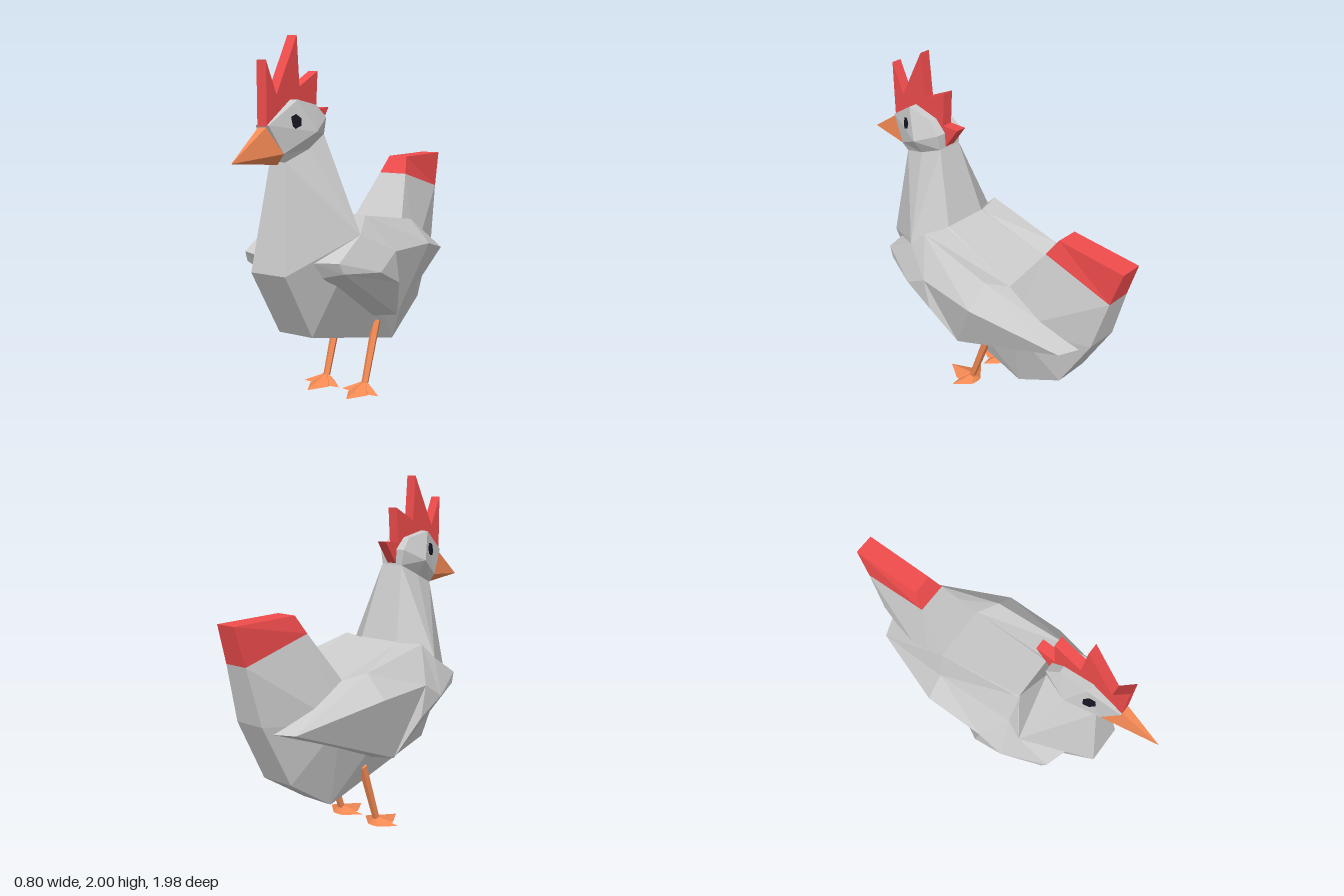
import * as THREE from 'three';

const GREY = 0xcccccc, RED = 0xf04c4c, ORANGE = 0xf58a55, DARK = 0x14151f;

const material = (color, side = THREE.FrontSide) =>
  new THREE.MeshStandardMaterial({ color, flatShading: true, side });

function mesh(name, geometry, color, side) {
  const m = new THREE.Mesh(geometry, material(color, side));
  m.name = name;
  return m;
}

// Faceted geometry from polygons, each a loop of points
function facets(polygons) {
  const pos = [];
  for (const p of polygons)
    for (let i = 1; i < p.length - 1; i++) pos.push(...p[0], ...p[i], ...p[i + 1]);
  const g = new THREE.BufferGeometry();
  g.setAttribute('position', new THREE.Float32BufferAttribute(pos, 3));
  g.computeVertexNormals();
  return g;
}

const flip = ([x, y, z]) => [-x, y, z];
const mirror = polygons => polygons.map(p => p.map(flip).reverse());
const both = polygons => [...polygons, ...mirror(polygons)];
const pairs = chain => chain.slice(1).map((b, i) => [chain[i], b]);
// Triangles from a hub to each edge of a chain
const fan = (hub, chain) => pairs(chain).map(([a, b]) => [hub, a, b]);
// Strip joining a chain on the left side to its mirror image
const bridge = chain => pairs(chain).map(([a, b]) => [b, a, flip(a), flip(b)]);

export function createModel() {
  const model = new THREE.Group();
  model.name = 'rooster';

  // Points shared by neck and head
  const neckFront = [0.05, 1.36, 0.63], neckSide = [0.08, 1.42, 0.47], neckBack = [0.07, 1.49, 0.32];

  // Body, neck and lower tail
  const chest = [0.11, 0.79, 0.72], breast = [0.11, 0.42, 0.49], belly = [0.1, 0.22, -0.35];
  const rump = [0.1, 0.42, -0.66], rear = [0.09, 0.78, -0.85];
  const tailRear = [0.07, 1.1, -0.93], tailFront = [0.09, 1.21, -0.51];
  const tailBase = [0.17, 0.94, -0.33], back = [0.13, 1.06, 0.2];
  const shoulder = [0.31, 0.97, 0.33], flank = [0.22, 0.72, -0.4];
  model.add(mesh('body', facets([
    ...both([
      ...fan(shoulder, [tailBase, back, neckBack, neckSide, neckFront, chest, breast, belly, flank, tailBase]),
      ...fan(flank, [belly, rump, rear, tailRear, tailFront, tailBase]),
    ]),
    ...bridge([neckFront, chest, breast, belly, rump, rear, tailRear]),
    ...bridge([tailFront, tailBase, back, neckBack]),
  ]), GREY));

  // Tail tip
  const tip = [tailRear, [0.06, 1.31, -0.99], [0.06, 1.31, -0.57], tailFront];
  model.add(mesh('tailTip', facets([...both([tip]), ...bridge(tip)]), RED));

  // Head
  const brow = [0.04, 1.55, 0.75], crown = [0.08, 1.675, 0.56], crownBack = [0.07, 1.645, 0.39];
  const nape = [0.085, 1.58, 0.32], cheek = [0.135, 1.51, 0.47], jaw = [0.065, 1.405, 0.66];
  model.add(mesh('head', facets([
    ...both([
      [brow, jaw, cheek, crown], [crown, cheek, crownBack], [crownBack, cheek, nape],
      [jaw, neckFront, neckSide, cheek], [cheek, neckSide, neckBack], [cheek, neckBack, nape],
    ]),
    ...bridge([neckBack, nape, crownBack, crown, brow, jaw, neckFront]),
  ]), GREY));

  // Beak
  const beakTip = [0, 1.375, 0.985], beakTop = [0.025, 1.54, 0.75], beakBottom = [0, 1.345, 0.63];
  model.add(mesh('beak', facets([
    ...both([[beakTip, jaw, beakTop], [beakTip, beakBottom, jaw]]),
    [beakTip, beakTop, flip(beakTop)],
    [beakTop, jaw, beakBottom, flip(jaw), flip(beakTop)],
  ]), ORANGE));

  // Comb: side outline (z, y) extruded across the head
  const outline = [
    [0.75, 1.545], [0.75, 1.87], [0.67, 1.7], [0.5, 2], [0.48, 1.74], [0.32, 1.82],
    [0.335, 1.62], [0.22, 1.63], [0.315, 1.5], [0.4, 1.58], [0.56, 1.6],
  ].map(p => new THREE.Vector2(...p));
  const comb = new THREE.ExtrudeGeometry(new THREE.Shape(outline), { depth: 0.06, bevelEnabled: false });
  comb.translate(0, 0, -0.03).rotateY(-Math.PI / 2);
  model.add(mesh('comb', comb, RED));

  // Wing
  const front = [0.31, 0.85, 0.53], frontLow = [0.32, 0.79, 0.5];
  const low = [0.31, 0.46, -0.05], end = [0.22, 0.735, -0.74];
  const inFront = [0.18, 0.845, 0.57], inFrontLow = [0.2, 0.76, 0.52];
  const inLow = [0.15, 0.43, -0.05], inEnd = [0.09, 0.73, -0.79];
  const top1 = [0.31, 0.97, 0.33], top2 = [0.28, 1.06, 0.24], top3 = [0.28, 0.98, -0.25];
  const inTop = [0.13, 1.055, 0.2], inTopBack = [0.17, 0.94, -0.33];
  const p1 = [0.4, 0.77, 0.27], p2 = [0.4, 0.86, 0.12], p3 = [0.4, 0.85, -0.25], p4 = [0.4, 0.68, 0.08];
  const wing = [
    // outer face
    [front, p1, top1], [top1, p1, p2, top2], [top2, p2, p3, top3], [top3, p3, end],
    [front, frontLow, p1], [p1, frontLow, p4], [frontLow, low, p4],
    [p1, p4, p2], [p2, p4, low], [p2, low, p3], [p3, low, end],
    // rim and top
    [frontLow, front, inFront, inFrontLow], [low, frontLow, inFrontLow, inLow], [end, low, inLow, inEnd],
    [front, top1, inFront], [top1, top2, inTop], [top2, top3, inTopBack, inTop], [top3, end, inEnd, inTopBack],
  ];
  model.add(mesh('leftWing', facets(wing), GREY, THREE.DoubleSide));
  model.add(mesh('rightWing', facets(mirror(wing)), GREY, THREE.DoubleSide));

  // Foot outline (x, z) around the ankle: three toes and a heel
  const toes = [
    [0, -0.03], [0.035, -0.025], [0.125, 0.06], [0.06, 0.07], [0.065, 0.085], [0, 0.2],
    [-0.065, 0.085], [-0.06, 0.07], [-0.125, 0.06], [-0.035, -0.025],
  ].map(([x, z]) => [x, 0, z]);
  const footFaces = [...toes.map((a, i) => [[0, 0.055, 0], toes[(i + 1) % toes.length], a])];
  footFaces.push(...toes.map((a, i) => [[0, 0, 0.03], a, toes[(i + 1) % toes.length]]));

  for (const s of [1, -1]) {
    const side = s > 0 ? 'left' : 'right';

    // Eye
    const eye = mesh(side + 'Eye', new THREE.CylinderGeometry(0.037, 0.037, 0.016, 6), DARK);
    eye.position.set(s * 0.083, 1.565, 0.588);
    eye.quaternion.setFromUnitVectors(new THREE.Vector3(0, 1, 0), new THREE.Vector3(s * 0.91, 0.14, 0.4).normalize());
    model.add(eye);

    // Leg from ankle up to the body
    const a = new THREE.Vector3(s * 0.135, 0.03, 0.015), b = new THREE.Vector3(s * 0.135, 0.39, -0.112);
    const leg = mesh(side + 'Leg', new THREE.CylinderGeometry(0.026, 0.021, a.distanceTo(b), 5), ORANGE);
    leg.position.copy(a).lerp(b, 0.5);
    leg.quaternion.setFromUnitVectors(new THREE.Vector3(0, 1, 0), b.clone().sub(a).normalize());
    model.add(leg);

    // Foot
    const foot = mesh(side + 'Foot', facets(footFaces), ORANGE, THREE.DoubleSide);
    foot.position.set(s * 0.135, 0, 0.005);
    model.add(foot);
  }
  return model;
}
